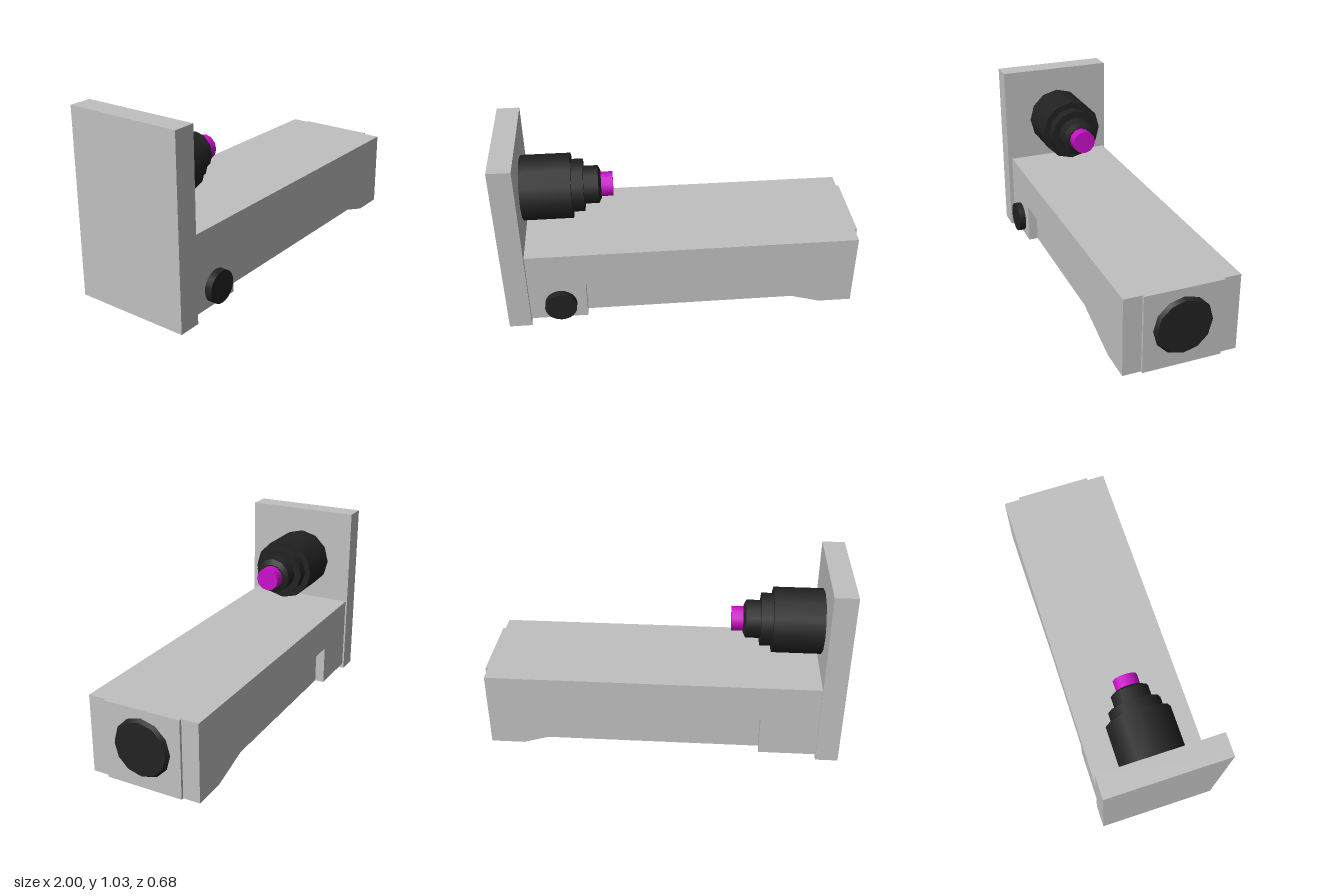
import * as THREE from 'three';

export function createModel() {
  const model = new THREE.Group();
  const mat = (name, color) => {
    const m = new THREE.MeshStandardMaterial({ color });
    m.name = name;
    return m;
  };
  const grey = mat('light grey', 0xc0c0c0);
  const black = mat('black', 0x222222);
  const magenta = mat('magenta', 0xc80fc8);
  const midZ = -0.015;

  const add = (name, geometry, material) => {
    const mesh = new THREE.Mesh(geometry, material);
    mesh.name = name;
    model.add(mesh);
    return mesh;
  };

  // Box given by its limits on each axis
  const box = (name, x0, x1, y0, y1, z0, z1) =>
    add(name, new THREE.BoxGeometry(x1 - x0, y1 - y0, z1 - z0), grey)
      .position.set((x0 + x1) / 2, (y0 + y1) / 2, (z0 + z1) / 2);

  // Twelve-sided round part along x, from radius r0 at x0 to r1 at x1
  const round = (name, x0, x1, r0, r1, y, material) => {
    const g = new THREE.CylinderGeometry(r1, r0, x1 - x0, 12);
    g.rotateZ(-Math.PI / 2);
    add(name, g, material).position.set((x0 + x1) / 2, y, midZ);
  };

  // Upright end plate and the core of the long body
  box('endPlate', -1, -0.875, 0, 1.035, -0.34, 0.325);
  box('bodyCore', -0.875, 0.965, 0.03, 0.465, -0.275, 0.245);
  box('bodyEndBlock', 0.965, 0.98, 0.03, 0.465, -0.235, 0.2);

  // Side slabs, with the sloping recess cut from the lower edge
  const profile = new THREE.Shape([
    [-0.875, 0.03], [-0.555, 0.03], [-0.555, 0.26], [0.02, 0.26],
    [0.78, 0.03], [0.965, 0.03], [0.965, 0.465], [-0.875, 0.465],
  ].map(([x, y]) => new THREE.Vector2(x, y)));
  for (const [name, z] of [['frontSideSlab', 0.245], ['backSideSlab', -0.33]]) {
    const g = new THREE.ExtrudeGeometry(profile, { depth: 0.055, bevelEnabled: false });
    add(name, g, grey).position.z = z;
  }

  // Stepped nozzle with a bright tip
  const nozzleY = 0.713;
  round('nozzleBase', -0.875, -0.6, 0.181, 0.181, nozzleY, black);
  round('nozzleStep', -0.6, -0.535, 0.146, 0.146, nozzleY, black);
  round('nozzleNeck', -0.535, -0.455, 0.105, 0.105, nozzleY, black);
  round('nozzleChamfer', -0.455, -0.44, 0.105, 0.075, nozzleY, black);
  round('nozzleTip', -0.44, -0.375, 0.068, 0.068, nozzleY, magenta);

  // Round cap on the far end of the body
  round('endCap', 0.98, 1, 0.162, 0.148, 0.257, black);

  // Side knob
  const knob = new THREE.CylinderGeometry(0.089, 0.089, 0.04, 24);
  knob.rotateX(Math.PI / 2);
  add('sideKnob', knob, black).position.set(-0.7, 0.133, 0.32);

  return model;
}
